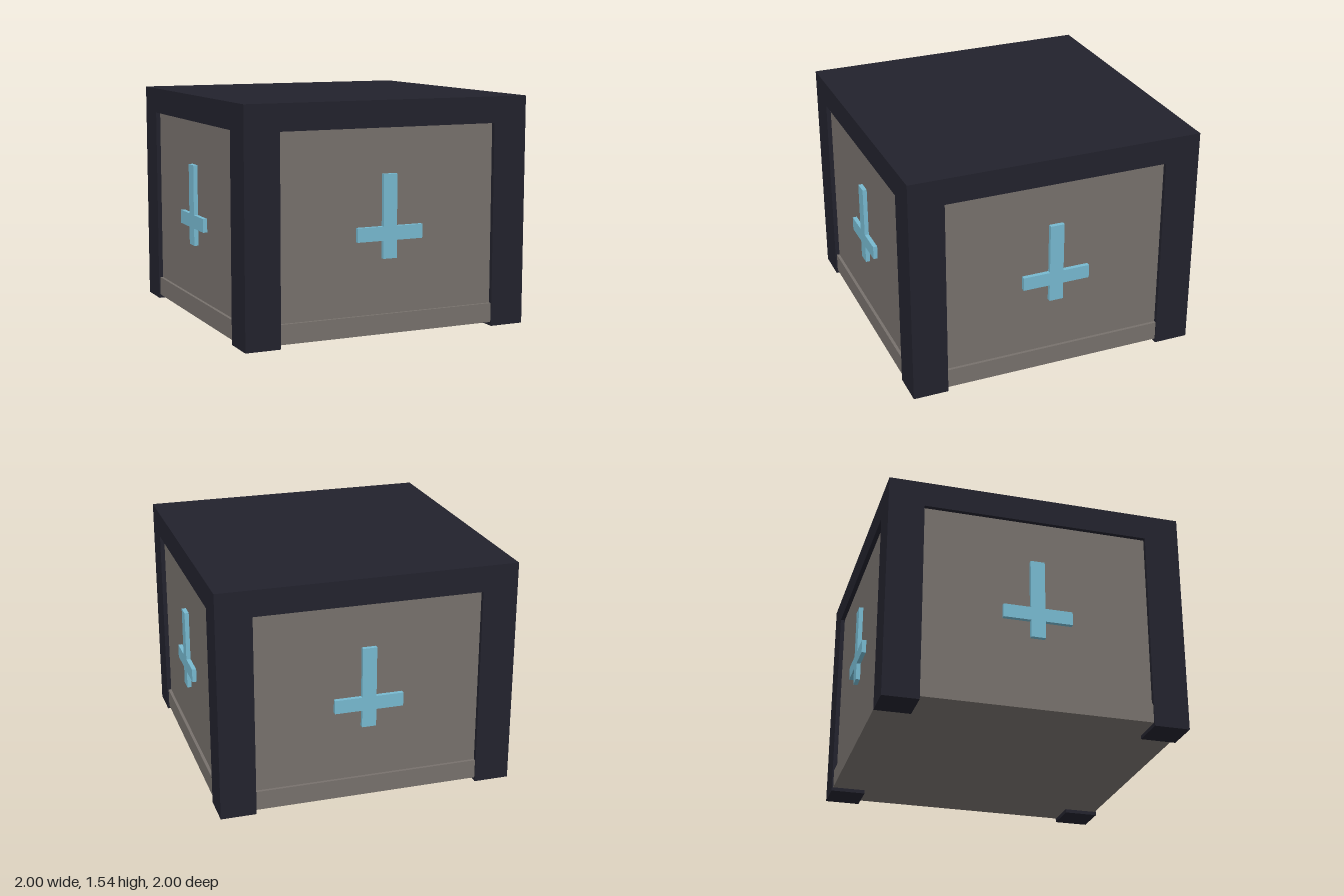
import * as THREE from 'three';

export function createModel() {
  const model = new THREE.Group();
  model.name = 'crate';

  const mat = (name, color) => {
    const m = new THREE.MeshStandardMaterial({ color });
    m.name = name;
    return m;
  };
  const frame = mat('dark frame', 0x22222d);
  const stone = mat('grey stone', 0x77716c);
  const blue = mat('light blue', 0x77b9d0);

  // Box given by its size, the height of its underside, and its centre in x and z
  const box = (parent, name, material, w, h, d, y0, x = 0, z = 0) => {
    const mesh = new THREE.Mesh(new THREE.BoxGeometry(w, h, d), material);
    mesh.name = name;
    mesh.position.set(x, y0 + h / 2, z);
    parent.add(mesh);
  };

  // Lid and corner posts
  const lidY = 1.365, top = 1.54, post = 0.238;
  box(model, 'lid', frame, 2, top - lidY, 2, lidY);
  for (const sx of [-1, 1])
    for (const sz of [-1, 1])
      box(model, 'cornerPost', frame, post, lidY, post, 0, sx * (1 - post / 2), sz * (1 - post / 2));

  // Recessed walls standing on a slightly wider plinth
  box(model, 'walls', stone, 1.94, lidY - 0.155, 1.94, 0.155);
  box(model, 'plinth', stone, 1.98, 0.13, 1.98, 0.025);

  // Raised emblem on each of the four sides
  const outline = [
    [-0.048, 0.52], [0.048, 0.52], [0.048, 0.638], [0.232, 0.638], [0.232, 0.73], [0.048, 0.73],
    [0.048, 1.068], [-0.048, 1.068], [-0.048, 0.73], [-0.232, 0.73], [-0.232, 0.638], [-0.048, 0.638],
  ];
  const shape = new THREE.Shape(outline.map(([x, y]) => new THREE.Vector2(x, y)));
  const emblem = new THREE.ExtrudeGeometry(shape, { depth: 0.03, bevelEnabled: false });
  emblem.translate(0, 0, 0.969);
  for (let i = 0; i < 4; i++) {
    const mesh = new THREE.Mesh(emblem, blue);
    mesh.name = 'sideEmblem';
    mesh.rotation.y = (i * Math.PI) / 2;
    model.add(mesh);
  }

  return model;
}
